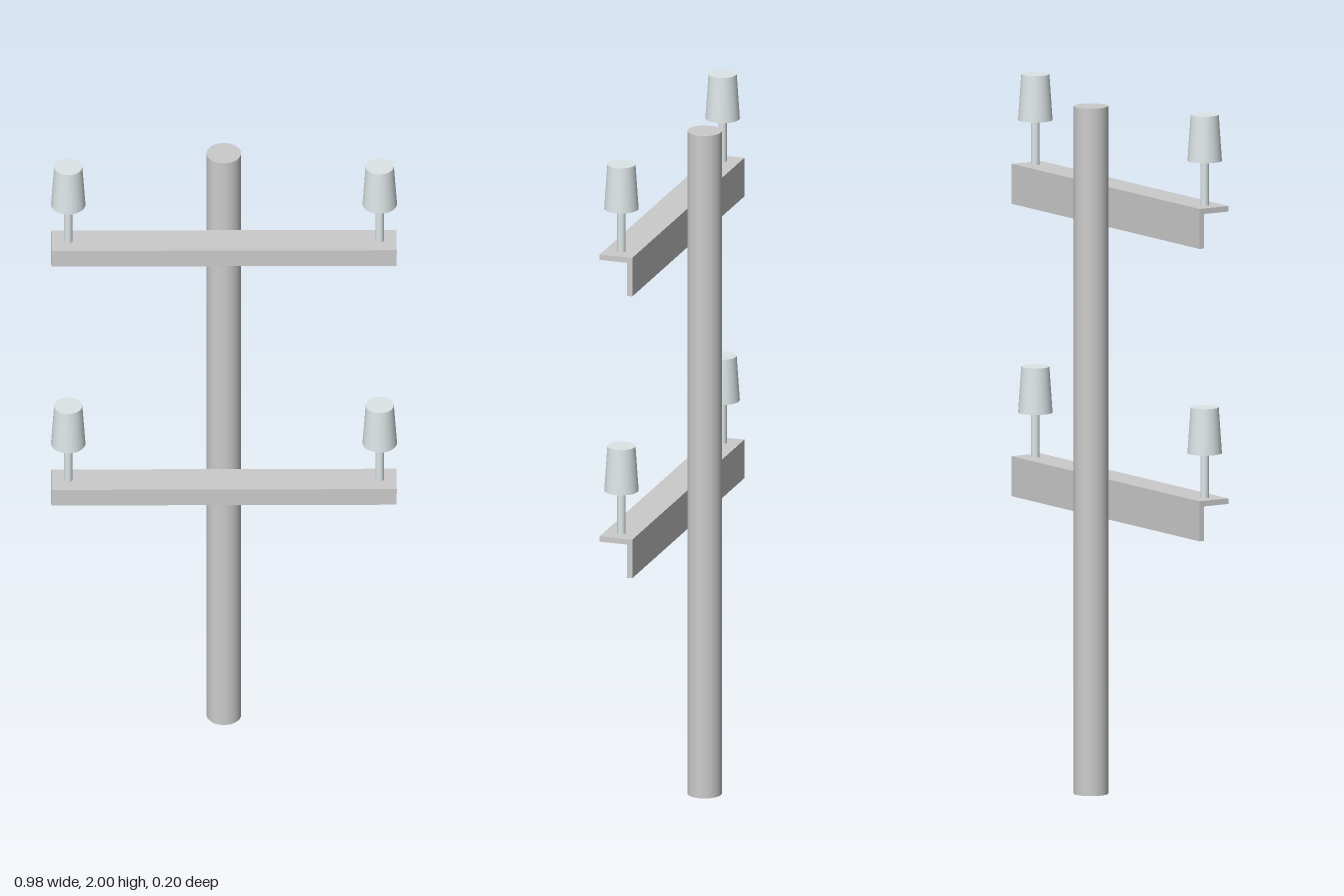
import * as THREE from 'three';

const steel = new THREE.MeshStandardMaterial({ color: 0xcccccc });
const porcelain = new THREE.MeshStandardMaterial({ color: 0xdde5e7 });

function addMesh(parent, name, geometry, material, x, y, z) {
  const mesh = new THREE.Mesh(geometry, material);
  mesh.name = name;
  mesh.position.set(x, y, z);
  parent.add(mesh);
}

// Angle-section crossarm with an insulator on a pin at each end; y = 0 is its top face
function createCrossarm() {
  const arm = new THREE.Group();
  arm.name = 'crossarm';
  const width = 0.98, depth = 0.098, thick = 0.016, drop = 0.115;
  addMesh(arm, 'armFlange', new THREE.BoxGeometry(width, thick, depth), steel, 0, -thick / 2, depth / 2);
  addMesh(arm, 'armWeb', new THREE.BoxGeometry(width, drop - thick, thick), steel, 0, -(drop + thick) / 2, thick / 2);
  for (const side of [-1, 1]) {
    const x = side * 0.442;
    addMesh(arm, 'insulatorPin', new THREE.CylinderGeometry(0.012, 0.012, 0.13, 20), porcelain, x, 0.065, depth / 2);
    addMesh(arm, 'insulator', new THREE.CylinderGeometry(0.04, 0.049, 0.132, 32), porcelain, x, 0.194, depth / 2);
  }
  return arm;
}

export function createModel() {
  const model = new THREE.Group();
  model.name = 'utilityPole';

  // Pole stands just behind the arms
  const height = 1.975;
  addMesh(model, 'pole', new THREE.CylinderGeometry(0.049, 0.049, height, 32), steel, 0, height / 2, -0.049);

  // Two identical crossarms
  for (const y of [0.9, 1.74]) {
    const arm = createCrossarm();
    arm.position.y = y;
    model.add(arm);
  }
  return model;
}
